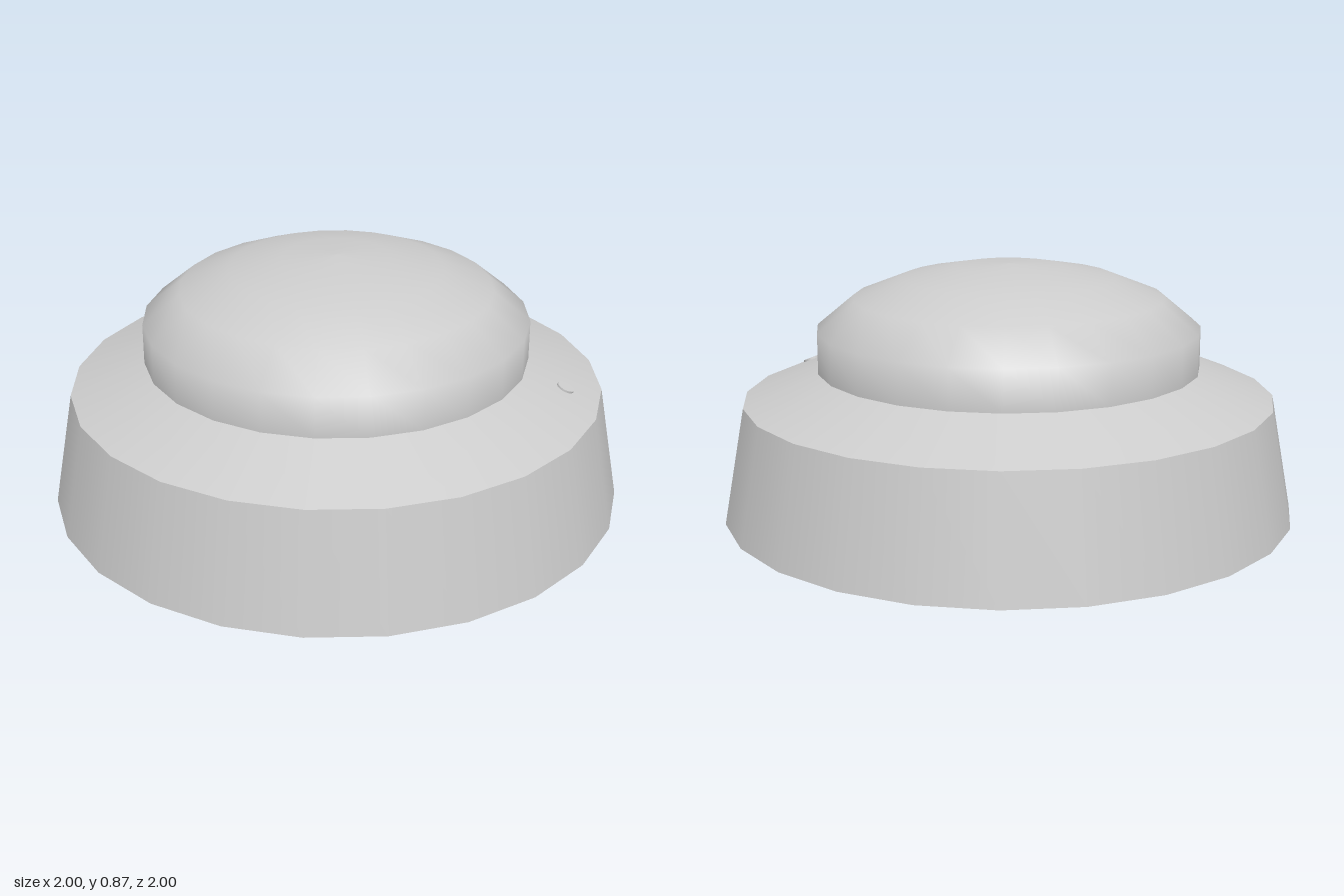
import * as THREE from 'three';

const SIDES = 24;
const material = new THREE.MeshStandardMaterial({ color: 0xcccccc });

// Revolve a short profile, listed from bottom to top
function band(name, profile) {
  const points = profile.map(([r, y]) => new THREE.Vector2(r, y));
  const mesh = new THREE.Mesh(new THREE.LatheGeometry(points, SIDES), material);
  mesh.name = name;
  return mesh;
}

export function createModel() {
  const model = new THREE.Group();
  model.name = 'ceilingDetector';

  // Base: flat underside, tapered wall and sloping shoulder, with sharp edges between
  const base = new THREE.Group();
  base.name = 'base';
  base.add(
    band('underside', [[0, 0], [1, 0]]),
    band('baseWall', [[1, 0], [0.925, 0.405]]),
    band('shoulder', [[0.925, 0.405], [0.667, 0.51]])
  );
  model.add(base);

  // Upright collar rounding over into a shallow dome
  model.add(band('domeCap', [
    [0.667, 0.51], [0.667, 0.65], [0.54, 0.755], [0.37, 0.822], [0.19, 0.857], [0, 0.868]
  ]));

  // Small indicator light set in the shoulder
  const light = new THREE.Mesh(new THREE.CylinderGeometry(0.031, 0.031, 0.02, 16), material);
  light.name = 'indicatorLight';
  const angle = 0.131;
  const normal = new THREE.Vector3(0.377 * Math.cos(angle), 0.926, 0.377 * Math.sin(angle));
  light.quaternion.setFromUnitVectors(new THREE.Vector3(0, 1, 0), normal.normalize());
  light.position.set(0.793, 0.45, 0.104);
  model.add(light);

  return model;
}
